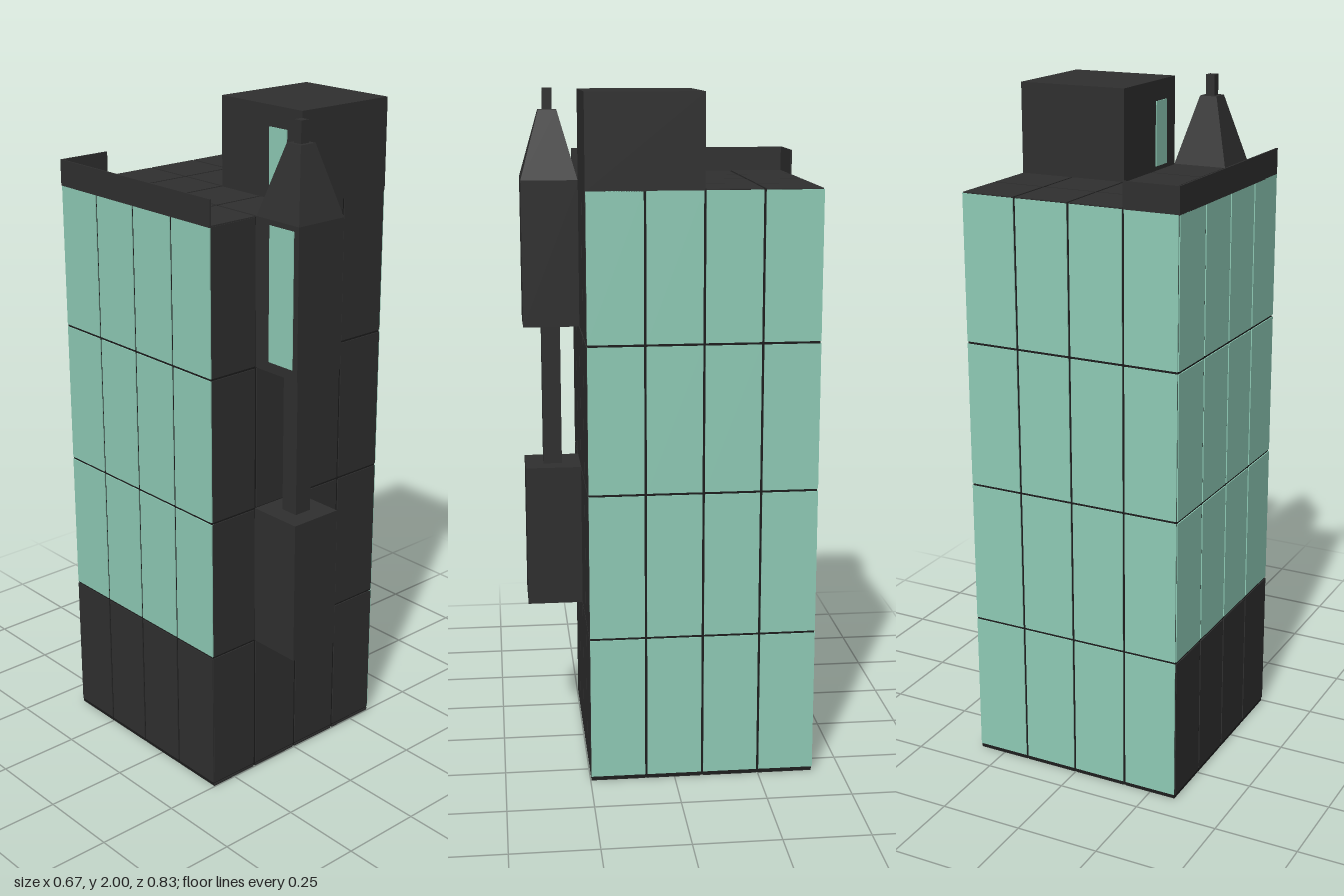
import * as THREE from 'three';

const dark = new THREE.MeshStandardMaterial({ color: 0x2f2f2f, flatShading: true });
const seam = new THREE.MeshStandardMaterial({ color: 0x1c1c1c, flatShading: true });
const glass = new THREE.MeshStandardMaterial({ color: 0x8fcbb6, flatShading: true });

// Main tower bounds and the 4 x 4 module grid
const X0 = -0.333, X1 = 0.333, Z0 = -0.415, Z1 = 0.249;
const Y0 = 0.01, ROOF = 1.738;
const N = 4, CELL = (X1 - X0) / N, FLOOR = (ROOF - Y0) / N;
const GAP = 0.007, PROUD = 0.003;

// Box given by its minimum and maximum corners
function box(parent, name, material, [ax, ay, az], [bx, by, bz]) {
  const mesh = new THREE.Mesh(new THREE.BoxGeometry(bx - ax, by - ay, bz - az), material);
  mesh.position.set((ax + bx) / 2, (ay + by) / 2, (az + bz) / 2);
  mesh.name = name;
  parent.add(mesh);
  return mesh;
}

// Square frustum standing on y
function frustum(parent, name, x, z, y, height, bottom, top) {
  const geo = new THREE.CylinderGeometry(top * Math.SQRT1_2, bottom * Math.SQRT1_2, height, 4);
  geo.rotateY(Math.PI / 4);
  const mesh = new THREE.Mesh(geo, dark);
  mesh.position.set(x, y + height / 2, z);
  mesh.name = name;
  parent.add(mesh);
}

function buildTower() {
  const tower = new THREE.Group();
  tower.name = 'tower';
  const i = PROUD;
  box(tower, 'core', seam, [X0 + i, 0.002, Z0 + i], [X1 - i, ROOF - i, Z1 - i]);

  const g = GAP / 2;
  for (let c = 0; c < N; c++) {
    const xa = X0 + c * CELL + g, xb = xa + CELL - GAP;
    const za = Z0 + c * CELL + g, zb = za + CELL - GAP;
    // Wall panels on every floor
    for (let f = 0; f < N; f++) {
      const ya = Y0 + f * FLOOR + g, yb = ya + FLOOR - GAP;
      box(tower, 'frontPanel', dark, [xa, ya, Z1 - 0.01], [xb, yb, Z1]);
      box(tower, 'backWindow', glass, [xa, ya, Z0], [xb, yb, Z0 + 0.01]);
      box(tower, 'leftWindow', glass, [X1 - 0.01, ya, za], [X1, yb, zb]);
      box(tower, f ? 'rightWindow' : 'rightPanel', f ? glass : dark,
        [X0, ya, za], [X0 + 0.01, yb, zb]);
    }
    // Roof and underside tiles
    for (let r = 0; r < N; r++) {
      const ta = Z0 + r * CELL + g, tb = ta + CELL - GAP;
      box(tower, 'roofTile', dark, [xa, ROOF - 0.01, ta], [xb, ROOF, tb]);
      box(tower, 'baseTile', dark, [xa, 0, ta], [xb, 0.008, tb]);
    }
  }
  return tower;
}

function buildRoofTop() {
  const roof = new THREE.Group();
  roof.name = 'roofTop';
  // Stair house with a glazed door facing the open roof
  const zBack = Z0 + 2 * CELL;
  box(roof, 'stairHouse', dark, [0, ROOF - 0.005, zBack], [X1, 2, Z1]);
  box(roof, 'stairDoor', glass, [-0.003, 1.75, 0.12], [0.01, 1.94, 0.19]);
  // Thin parapet along the right edge, turning the back corner
  box(roof, 'sideParapet', dark, [X0, ROOF - 0.005, Z0], [X0 + 0.005, 1.81, Z1]);
  box(roof, 'backParapet', dark, [X0, ROOF - 0.005, Z0], [X0 + CELL, 1.81, Z0 + 0.005]);
  return roof;
}

function buildTurret() {
  const turret = new THREE.Group();
  turret.name = 'turret';
  const x = -CELL / 2, z = Z1 + CELL / 2;
  const low = Y0 + FLOOR, mid = Y0 + 2 * FLOOR, high = Y0 + 3 * FLOOR;
  // Lower bay, slim post, upper bay
  box(turret, 'lowerBay', dark, [-CELL, low, Z1 - 0.004], [0, mid, Z1 + CELL]);
  box(turret, 'post', dark, [x - 0.028, mid, z - 0.028], [x + 0.028, high, z + 0.028]);
  box(turret, 'upperBay', dark, [-CELL, high, Z1 - 0.004], [0, ROOF, Z1 + CELL]);
  box(turret, 'bayWindow', glass,
    [-CELL - 0.002, high + 0.03, z - 0.03], [-CELL + 0.01, ROOF - 0.015, z + 0.065]);
  // Spire and its finial
  frustum(turret, 'spire', x, z, ROOF, 0.2, CELL, 0.054);
  frustum(turret, 'finial', x, z, ROOF + 0.2, 2 - ROOF - 0.2, 0.028, 0.028);
  return turret;
}

export function createModel() {
  const model = new THREE.Group();
  model.name = 'towerBlock';
  model.add(buildTower(), buildRoofTop(), buildTurret());
  return model;
}
